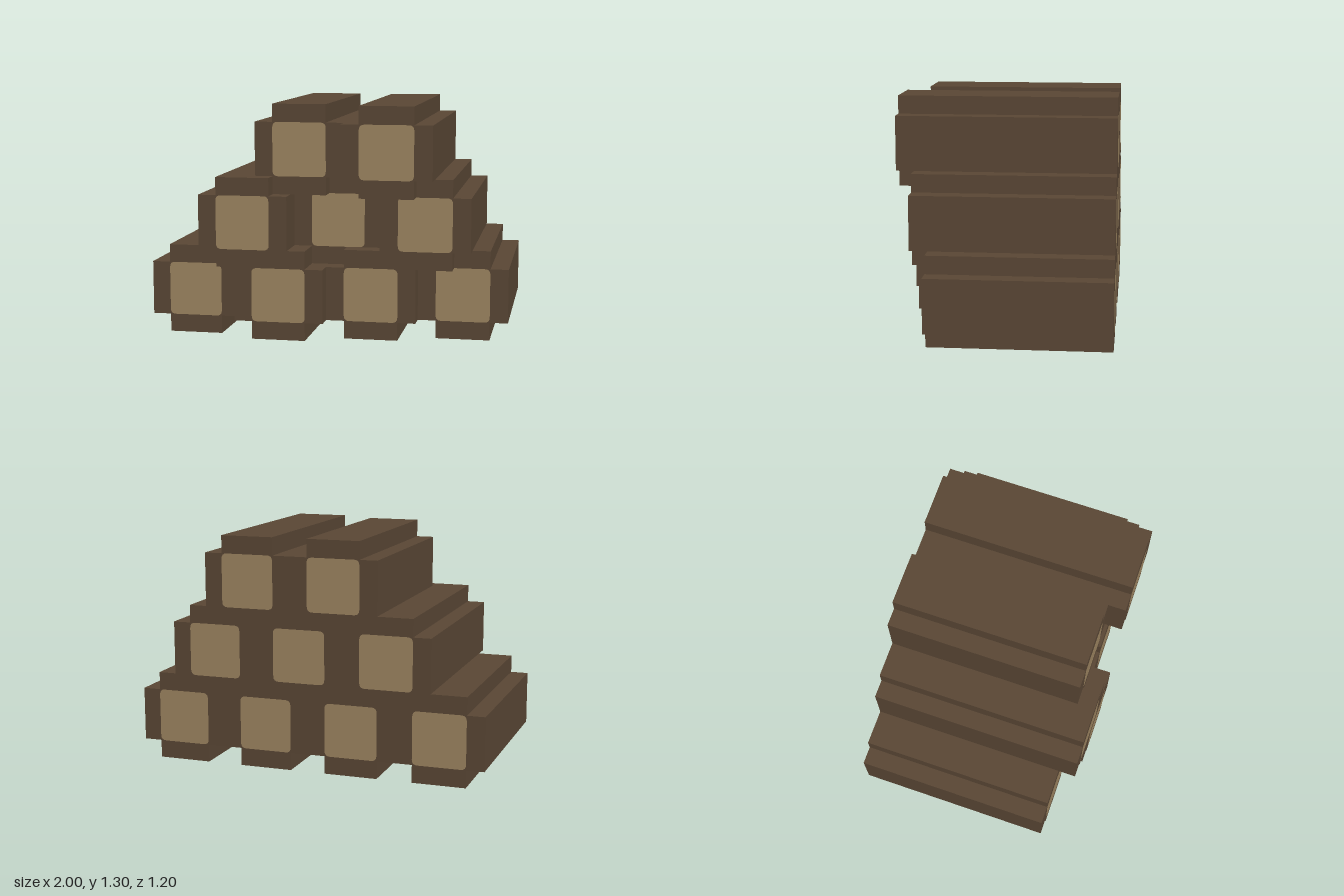
import * as THREE from 'three';

const BACK = -0.6;
const CAP_GAP = 0.0015;

// Stacked rows: height of the log centre, then [x, front z] for each log
const ROWS = [
  { y: 0.25, logs: [[-0.75, 0.5], [-0.25, 0.6], [0.25, 0.5], [0.75, 0.4]] },
  { y: 0.65, logs: [[-0.45, 0.6], [0.05, 0.4], [0.55, 0.5]] },
  { y: 1.05, logs: [[-0.15, 0.5], [0.35, 0.6]] },
];

// Square with notched corners: the blocky log section
function logShape() {
  const a = 0.25, b = 0.15;
  return new THREE.Shape([
    [-b, -a], [b, -a], [b, -b], [a, -b], [a, b], [b, b],
    [b, a], [-b, a], [-b, b], [-a, b], [-a, -b], [-b, -b],
  ].map(([x, y]) => new THREE.Vector2(x, y)));
}

// Slightly rounded square of bare wood
function cutShape(h = 0.15, r = 0.03) {
  const s = new THREE.Shape();
  s.moveTo(-h + r, -h);
  s.lineTo(h - r, -h).quadraticCurveTo(h, -h, h, -h + r);
  s.lineTo(h, h - r).quadraticCurveTo(h, h, h - r, h);
  s.lineTo(-h + r, h).quadraticCurveTo(-h, h, -h, h - r);
  s.lineTo(-h, -h + r).quadraticCurveTo(-h, -h, -h + r, -h);
  return s;
}

export function createModel() {
  const bark = new THREE.MeshStandardMaterial({ name: 'bark brown', color: 0x5a4735 });
  const wood = new THREE.MeshStandardMaterial({ name: 'cut wood tan', color: 0x9d8561 });
  const cutGeometry = new THREE.ShapeGeometry(cutShape(), 4);

  const pile = new THREE.Group();
  pile.name = 'logPile';

  for (const { y, logs } of ROWS) {
    for (const [x, front] of logs) {
      const log = new THREE.Group();
      log.name = 'log';
      log.position.set(x, y, 0);

      // Bark body
      const geometry = new THREE.ExtrudeGeometry(logShape(), { depth: front - BACK, bevelEnabled: false });
      const body = new THREE.Mesh(geometry, bark);
      body.name = 'bark';
      body.position.z = BACK;

      // Cut faces at both ends
      const frontCut = new THREE.Mesh(cutGeometry, wood);
      frontCut.name = 'frontCutFace';
      frontCut.position.z = front + CAP_GAP;
      const backCut = new THREE.Mesh(cutGeometry, wood);
      backCut.name = 'backCutFace';
      backCut.position.z = BACK - CAP_GAP;
      backCut.rotation.y = Math.PI;

      log.add(body, frontCut, backCut);
      pile.add(log);
    }
  }
  return pile;
}
